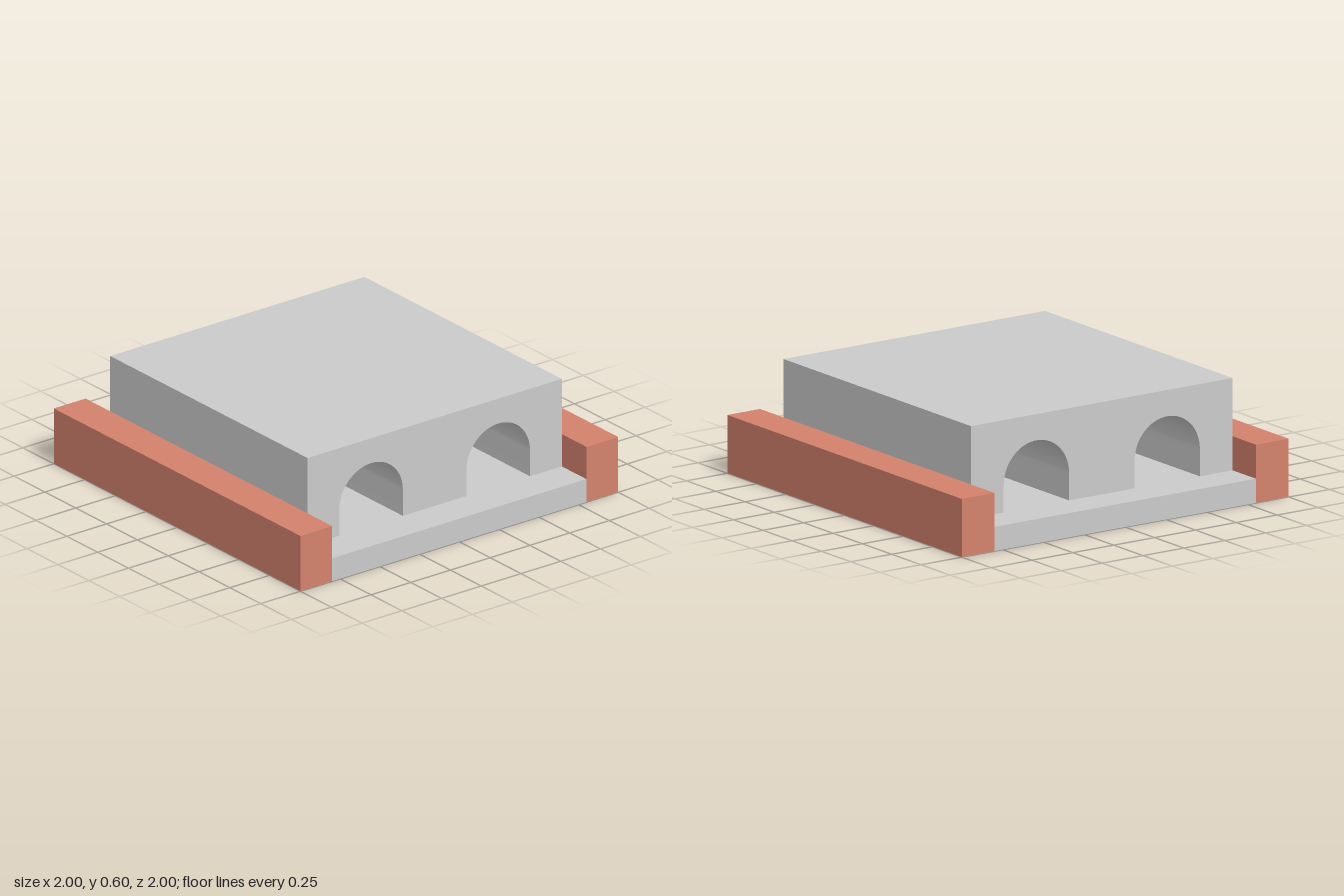
import * as THREE from 'three';
import { toCreasedNormals } from 'three/addons/utils/BufferGeometryUtils.js';

const BASE_TOP = 0.125, TOP = 0.6, SPRING = 0.265, RADIUS = 0.2;

function addBox(group, name, material, size, position) {
  const mesh = new THREE.Mesh(new THREE.BoxGeometry(...size), material);
  mesh.name = name;
  mesh.position.set(...position);
  group.add(mesh);
}

export function createModel() {
  const group = new THREE.Group();
  group.name = 'twinCulvert';
  const grey = new THREE.MeshStandardMaterial({ color: 0xcccccc });
  const red = new THREE.MeshStandardMaterial({ color: 0xd4826d });

  // Base slab, inset by a hair so its faces do not coincide with the rails
  addBox(group, 'baseSlab', grey, [1.998, BASE_TOP, 1.998], [0, BASE_TOP / 2, 0]);

  // Raised side rails
  for (const [name, side] of [['leftRail', 1], ['rightRail', -1]]) {
    addBox(group, name, red, [0.2, 0.299, 2], [side * 0.9, 0.1505, 0]);
  }

  // Block with two round-topped tunnels running front to back
  const outline = new THREE.Shape();
  outline.moveTo(-0.8, BASE_TOP);
  for (const x of [-0.4, 0.4]) {
    outline.lineTo(x - RADIUS, BASE_TOP);
    outline.lineTo(x - RADIUS, SPRING);
    outline.absarc(x, SPRING, RADIUS, Math.PI, 0, true);
    outline.lineTo(x + RADIUS, BASE_TOP);
  }
  outline.lineTo(0.8, BASE_TOP);
  outline.lineTo(0.8, TOP);
  outline.lineTo(-0.8, TOP);
  outline.closePath();
  const geometry = new THREE.ExtrudeGeometry(outline, { depth: 1.6, bevelEnabled: false, curveSegments: 32 });
  geometry.translate(0, 0, -0.8);
  const block = new THREE.Mesh(toCreasedNormals(geometry, Math.PI / 6), grey);
  block.name = 'tunnelBlock';
  group.add(block);

  return group;
}
